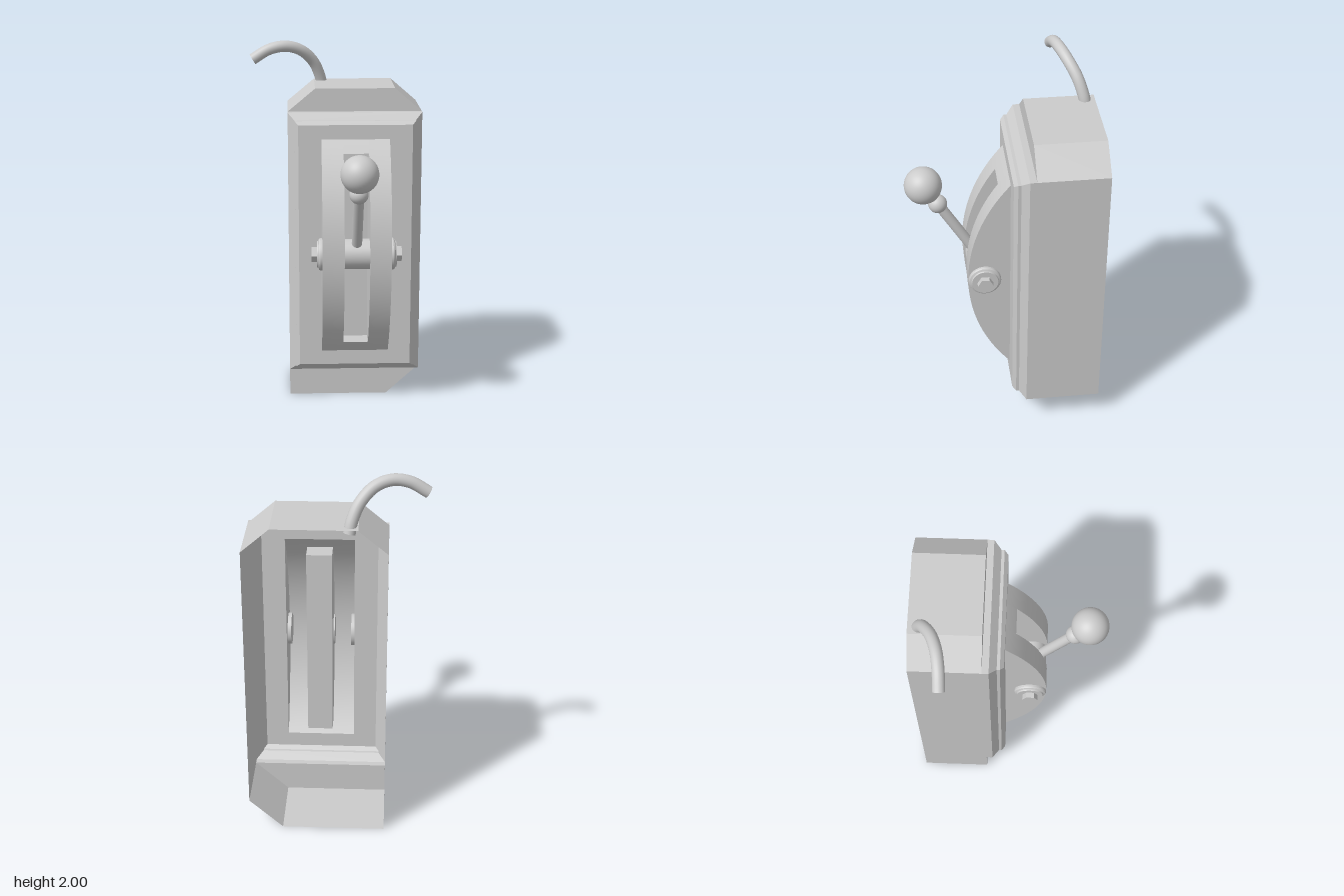
import * as THREE from 'three';
import { toCreasedNormals } from 'three/addons/utils/BufferGeometryUtils.js';

const solid = new THREE.MeshStandardMaterial({ color: 0xcccccc });
const sheet = new THREE.MeshStandardMaterial({ color: 0xcccccc, side: THREE.DoubleSide });

// Skin a series of point rows with quads
function loft(rows, closed = false) {
  const pos = [];
  for (let r = 0; r < rows.length - 1; r++) {
    const p = rows[r], q = rows[r + 1], n = p.length;
    for (let i = 0; i < (closed ? n : n - 1); i++) {
      const j = (i + 1) % n;
      pos.push(...p[i], ...p[j], ...q[j], ...p[i], ...q[j], ...q[i]);
    }
  }
  const g = new THREE.BufferGeometry();
  g.setAttribute('position', new THREE.Float32BufferAttribute(pos, 3));
  return toCreasedNormals(g, 0.3);
}

const shapeOf = (pts) => new THREE.Shape(pts.map((p) => new THREE.Vector2(...p)));
const rect = (x0, x1, y0, y1) => [[x0, y0], [x1, y0], [x1, y1], [x0, y1]];

export function createModel() {
  const model = new THREE.Group();
  const add = (name, geo, mat = sheet, parent = model) => {
    const m = new THREE.Mesh(geo, mat);
    m.name = name;
    parent.add(m);
    return m;
  };

  // Main dimensions
  const L = -0.265, R = 0.465, B = 0.165, T = 1.64;
  const back = -0.505, capZ = -0.135, panelZ = -0.026;
  const cx = 0.1, pivotY = 0.904, pivotZ = 0.11;

  // Housing: thin shell, open at the back
  const topCap = [[L, T], [R, T], [0.32, 1.765], [-0.115, 1.765]];
  const bottomCap = [[L, 0], [0.285, 0], [R, B], [L, B]];
  const outline = [[L, 0], [0.285, 0], [R, B], [R, T], [0.32, 1.765], [-0.115, 1.765], [L, T]];
  add('housingShell', loft([back, capZ].map((z) => outline.map((p) => [...p, z])), true));
  for (const [name, pts] of [['topCapFront', topCap], ['bottomCapFront', bottomCap]]) {
    add(name, new THREE.ShapeGeometry(shapeOf(pts))).position.z = capZ;
  }

  // Stepped bevel running around the front panel
  const steps = [[0, capZ], [0, -0.1], [0.037, -0.062], [0.037, -0.046], [0.056, panelZ]];
  add('frontBevel', loft(steps.map(([d, z]) =>
    rect(L + d, R - d, B + d, T - d).map((p) => [...p, z])), true));

  // Front panel with an opening for the quadrant
  const qx0 = -0.085, qx1 = 0.285, qy0 = 0.302, qy1 = 1.506;
  const panel = shapeOf(rect(L + 0.056, R - 0.056, B + 0.056, T - 0.056));
  panel.holes.push(shapeOf(rect(qx0, qx1, qy0, qy1)));
  add('frontPanel', new THREE.ShapeGeometry(panel)).position.z = panelZ;

  // Curved quadrant with a recessed slot
  const sx0 = 0.033, sx1 = 0.17, sy0 = 0.37, sy1 = 1.438, slotZ = -0.08;
  const half = (qy1 - qy0) / 2, sag = 0.198 - panelZ;
  const radius = (half * half + sag * sag) / (2 * sag), arcZ = 0.198 - radius;
  const zAt = (y) => arcZ + Math.sqrt(radius * radius - (y - pivotY) ** 2);
  const column = (x, y0, y1, zFn) => Array.from({ length: 41 }, (_, i) => {
    const y = y0 + (y1 - y0) * i / 40;
    return [x, y, zFn(y)];
  });
  const quadrant = new THREE.Group();
  quadrant.name = 'quadrant';
  model.add(quadrant);
  const strip = (name, x0, x1, y0, y1, zFn) =>
    add(name, loft([column(x1, y0, y1, zFn), column(x0, y0, y1, zFn)]), sheet, quadrant);
  const wall = (name, x, y0, y1, z, facesLeft) => {
    const rows = [column(x, y0, y1, () => z), column(x, y0, y1, zAt)];
    add(name, loft(facesLeft ? rows : rows.reverse()), sheet, quadrant);
  };
  strip('rightRib', qx0, sx0, qy0, qy1, zAt);
  strip('leftRib', sx1, qx1, qy0, qy1, zAt);
  strip('lowerBridge', sx0, sx1, qy0, sy0, zAt);
  strip('upperBridge', sx0, sx1, sy1, qy1, zAt);
  strip('slotFloor', sx0, sx1, sy0, sy1, () => slotZ);
  wall('rightRibOuterWall', qx0, qy0, qy1, panelZ, false);
  wall('leftRibOuterWall', qx1, qy0, qy1, panelZ, true);
  wall('rightSlotWall', sx0, sy0, sy1, slotZ, true);
  wall('leftSlotWall', sx1, sy0, sy1, slotZ, false);
  for (const [name, y, up] of [['slotBottom', sy0, true], ['slotTop', sy1, false]]) {
    const rows = [sx0, sx1].map((x) => [[x, y, slotZ], [x, y, zAt(y)]]);
    add(name, loft(up ? rows : rows.reverse()), sheet, quadrant);
  }

  // Pivot hub between the ribs
  const pivot = new THREE.Group();
  pivot.name = 'pivot';
  pivot.position.set(cx, pivotY, pivotZ);
  model.add(pivot);
  add('hub', new THREE.CylinderGeometry(0.082, 0.082, 0.15, 40).rotateZ(Math.PI / 2), solid, pivot);

  // Washer and hex bolt on each side
  const washer = [[0, 0.165], [0.087, 0.165], [0.087, 0.196], [0.083, 0.203], [0.073, 0.207],
    [0.07, 0.214], [0, 0.214]].map((p) => new THREE.Vector2(...p));
  for (const side of [-1, 1]) {
    const end = new THREE.Group();
    end.name = side > 0 ? 'leftBolt' : 'rightBolt';
    end.rotation.z = -side * Math.PI / 2;
    pivot.add(end);
    add('washer', toCreasedNormals(new THREE.LatheGeometry(washer, 36), 0.5), solid, end);
    const hex = toCreasedNormals(new THREE.CylinderGeometry(0.042, 0.042, 0.04, 6), 0.3);
    add('hexHead', hex, solid, end).position.y = 0.223;
  }

  // Lever, tilted up and forward
  const lever = new THREE.Group();
  lever.name = 'lever';
  lever.rotation.x = Math.atan2(0.3, 0.506);
  pivot.add(lever);
  add('leverRod', new THREE.CylinderGeometry(0.028, 0.028, 0.5, 24), solid, lever).position.y = 0.25;
  add('leverCollar', new THREE.SphereGeometry(0.05, 28, 18), solid, lever).position.y = 0.445;
  add('leverKnob', new THREE.SphereGeometry(0.099, 40, 26), solid, lever).position.y = 0.588;

  // Cable curling out of the top
  const path = new THREE.CatmullRomCurve3([
    [-0.07, 1.73, -0.458], [-0.082, 1.79, -0.445], [-0.12, 1.876, -0.415], [-0.19, 1.944, -0.372],
    [-0.275, 1.969, -0.342], [-0.365, 1.953, -0.327], [-0.455, 1.9, -0.322],
  ].map((p) => new THREE.Vector3(...p)));
  add('cable', new THREE.TubeGeometry(path, 48, 0.031, 20));
  for (const t of [0, 1]) {
    const cap = add('cableEnd', new THREE.CircleGeometry(0.031, 20));
    cap.position.copy(path.getPoint(t));
    const dir = path.getTangent(t).multiplyScalar(t ? 1 : -1);
    cap.quaternion.setFromUnitVectors(new THREE.Vector3(0, 0, 1), dir);
  }
  return model;
}
